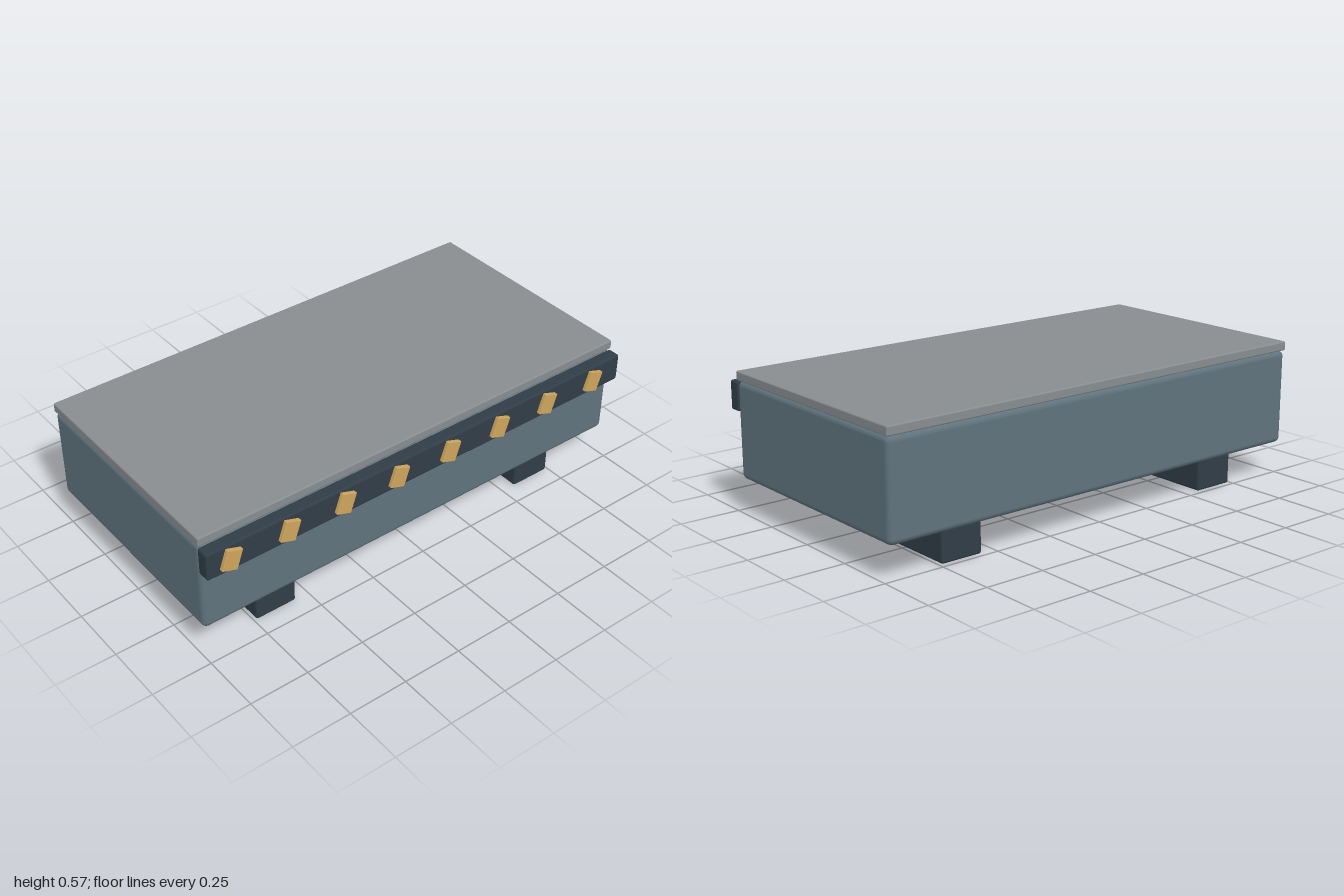
import * as THREE from 'three';
import { RoundedBoxGeometry } from 'three/addons/geometries/RoundedBoxGeometry.js';

const material = (color) => new THREE.MeshStandardMaterial({ color });

export function createModel() {
  const model = new THREE.Group();
  model.name = 'counterBlock';
  const blue = material(0x5f737d);
  const dark = material(0x303d47);
  const gold = material(0xd0a55a);
  const grey = material(0x888d8f);

  // Softly rounded box given by its size and centre
  const addBox = (name, mat, [w, h, d], [x, y, z], radius) => {
    const mesh = new THREE.Mesh(new RoundedBoxGeometry(w, h, d, 3, radius), mat);
    mesh.name = name;
    mesh.position.set(x, y, z);
    model.add(mesh);
    return mesh;
  };

  // Main body and the thin slab on top
  addBox('body', blue, [1.996, 0.394, 1.0], [0, 0.336, -0.032], 0.024);
  addBox('topSlab', grey, [2, 0.038, 1.0], [0, 0.552, -0.032], 0.006);

  // Front trim bar
  addBox('trimBar', dark, [2, 0.118, 0.056], [0, 0.468, 0.488], 0.009);

  // Tilted marker tiles along the trim bar
  for (let i = 0; i < 8; i++) {
    const tile = addBox('markerTile', gold, [0.067, 0.086, 0.024], [-0.902 + i * 0.25, 0.467, 0.52], 0.002);
    tile.rotation.z = -0.33;
  }

  // Two skids running front to back
  for (const side of [-1, 1]) {
    addBox(side > 0 ? 'leftSkid' : 'rightSkid', dark, [0.18, 0.16, 0.9], [side * 0.65, 0.08, -0.032], 0.01);
  }

  return model;
}
